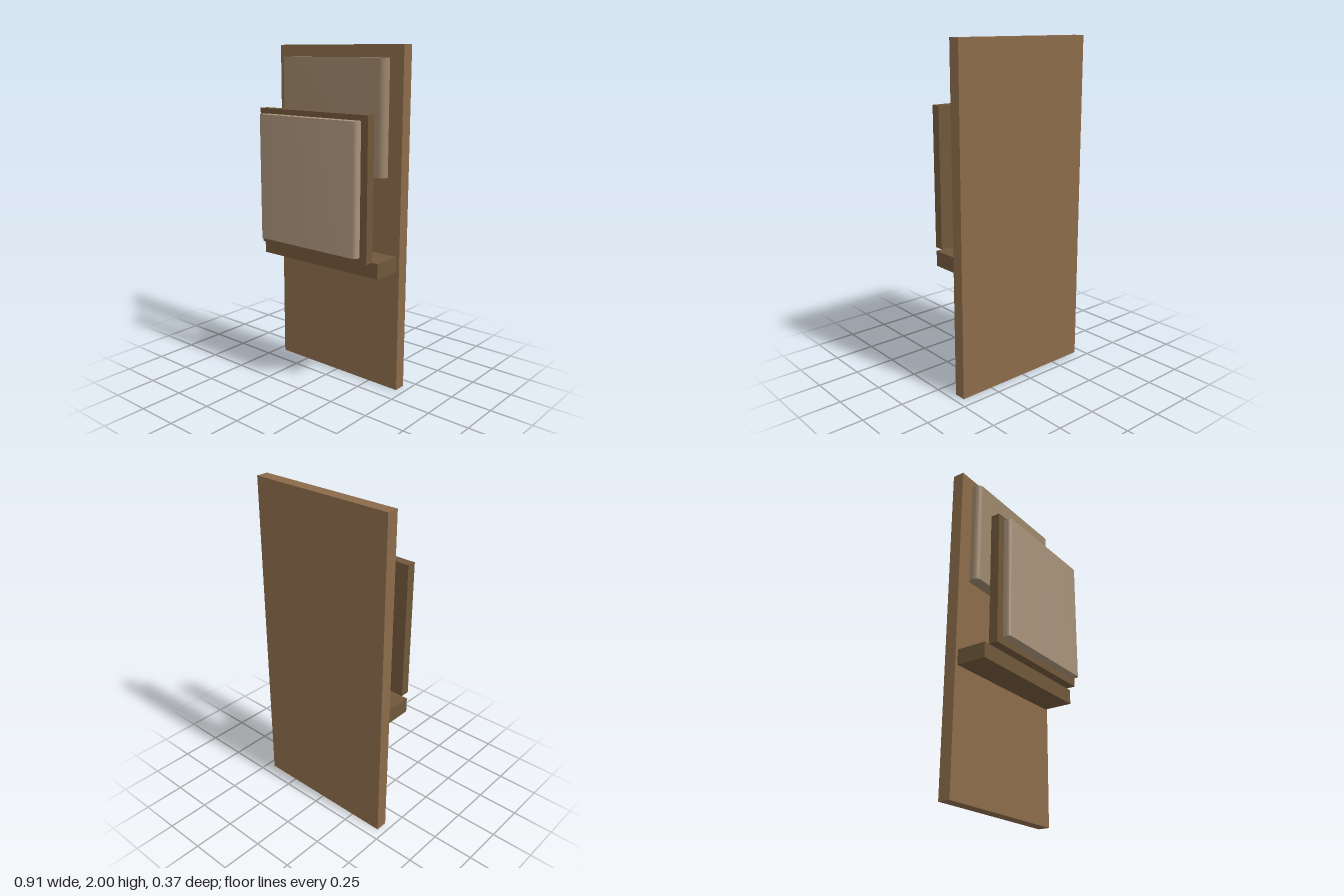
import * as THREE from 'three';
import { toCreasedNormals } from 'three/addons/utils/BufferGeometryUtils.js';

const WOOD = 0x8b6b4a, DARK_WOOD = 0x6f573a, PAD = 0x9c866a, LIGHT_PAD = 0xa8927a;

function addMesh(group, name, geometry, color) {
  const mesh = new THREE.Mesh(geometry, new THREE.MeshStandardMaterial({ color }));
  mesh.name = name;
  group.add(mesh);
  return mesh;
}

// Box centred on x = 0, given its width and its y and z ranges
function addBoard(group, name, color, width, [y0, y1], [z0, z1]) {
  const mesh = addMesh(group, name, new THREE.BoxGeometry(width, y1 - y0, z1 - z0), color);
  mesh.position.set(0, (y0 + y1) / 2, (z0 + z1) / 2);
}

// Pad with rounded upright edges and flat ends: a rounded plan extruded upwards
function addPad(group, name, color, width, [y0, y1], [z0, z1], r) {
  const w = width / 2, d = (z1 - z0) / 2;
  const plan = new THREE.Shape();
  plan.absarc(w - r, d - r, r, 0, Math.PI / 2);
  plan.absarc(-w + r, d - r, r, Math.PI / 2, Math.PI);
  plan.absarc(-w + r, -d + r, r, Math.PI, Math.PI * 1.5);
  plan.absarc(w - r, -d + r, r, Math.PI * 1.5, Math.PI * 2);
  plan.closePath();
  const solid = new THREE.ExtrudeGeometry(plan, { depth: y1 - y0, bevelEnabled: false, curveSegments: 8 });
  solid.rotateX(-Math.PI / 2);
  const mesh = addMesh(group, name, toCreasedNormals(solid, 0.6), color);
  mesh.position.set(0, y0, (z0 + z1) / 2);
}

export function createModel() {
  const model = new THREE.Group();
  model.name = 'wallPanelWithSeat';

  // Tall back board and the shelf standing out from it
  addBoard(model, 'backBoard', WOOD, 0.908, [0, 2], [-0.183, -0.11]);
  addBoard(model, 'shelf', DARK_WOOD, 0.87, [0.73, 0.82], [-0.11, 0.073]);

  // Upright folded seat board at the shelf's front edge, with its pad
  addBoard(model, 'seatBoard', DARK_WOOD, 0.798, [0.82, 1.636], [0.073, 0.128]);
  addPad(model, 'seatPad', LIGHT_PAD, 0.726, [0.857, 1.605], [0.128, 0.183], 0.02);

  // Pad on the back board
  addPad(model, 'backPad', PAD, 0.76, [1.275, 1.93], [-0.11, -0.037], 0.035);
  return model;
}
